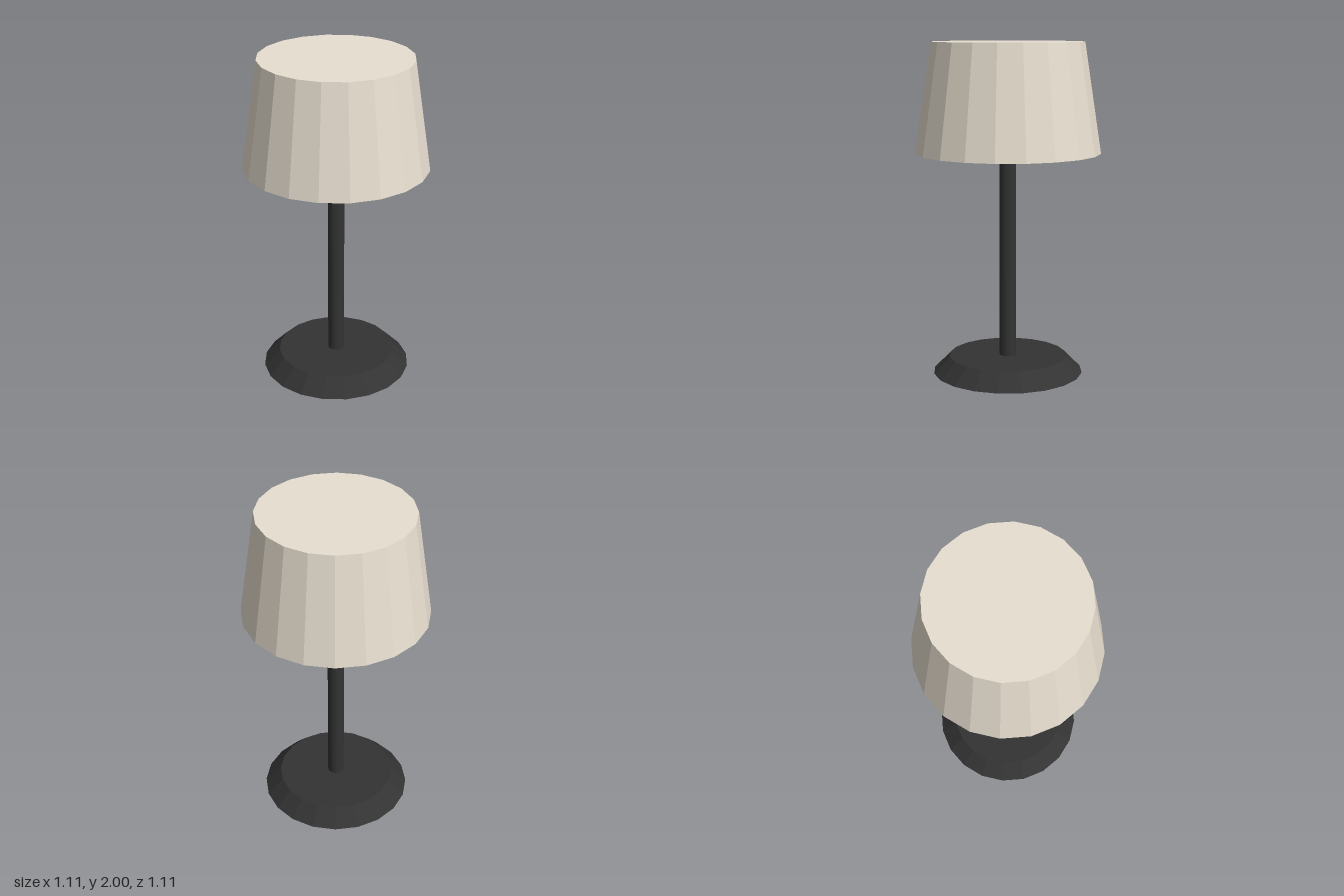
import * as THREE from 'three';

const SIDES = 20;

// Faceted, capped frustum standing between two heights
function frustum(name, rTop, rBottom, y0, y1, color) {
  const geometry = new THREE.CylinderGeometry(rTop, rBottom, y1 - y0, SIDES);
  const material = new THREE.MeshStandardMaterial({ color, flatShading: true });
  const mesh = new THREE.Mesh(geometry, material);
  mesh.name = name;
  mesh.position.y = (y0 + y1) / 2;
  return mesh;
}

export function createModel() {
  const lamp = new THREE.Group();
  lamp.name = 'tableLamp';
  const dark = 0x333333;
  const cream = 0xe8dfd0;

  lamp.add(
    frustum('base', 0.358, 0.455, 0, 0.1, dark), // bevelled foot
    frustum('pole', 0.05, 0.05, 0.1, 1.345, dark), // slim stem
    frustum('shade', 0.455, 0.555, 1.345, 2, cream) // closed tapered shade
  );
  return lamp;
}
